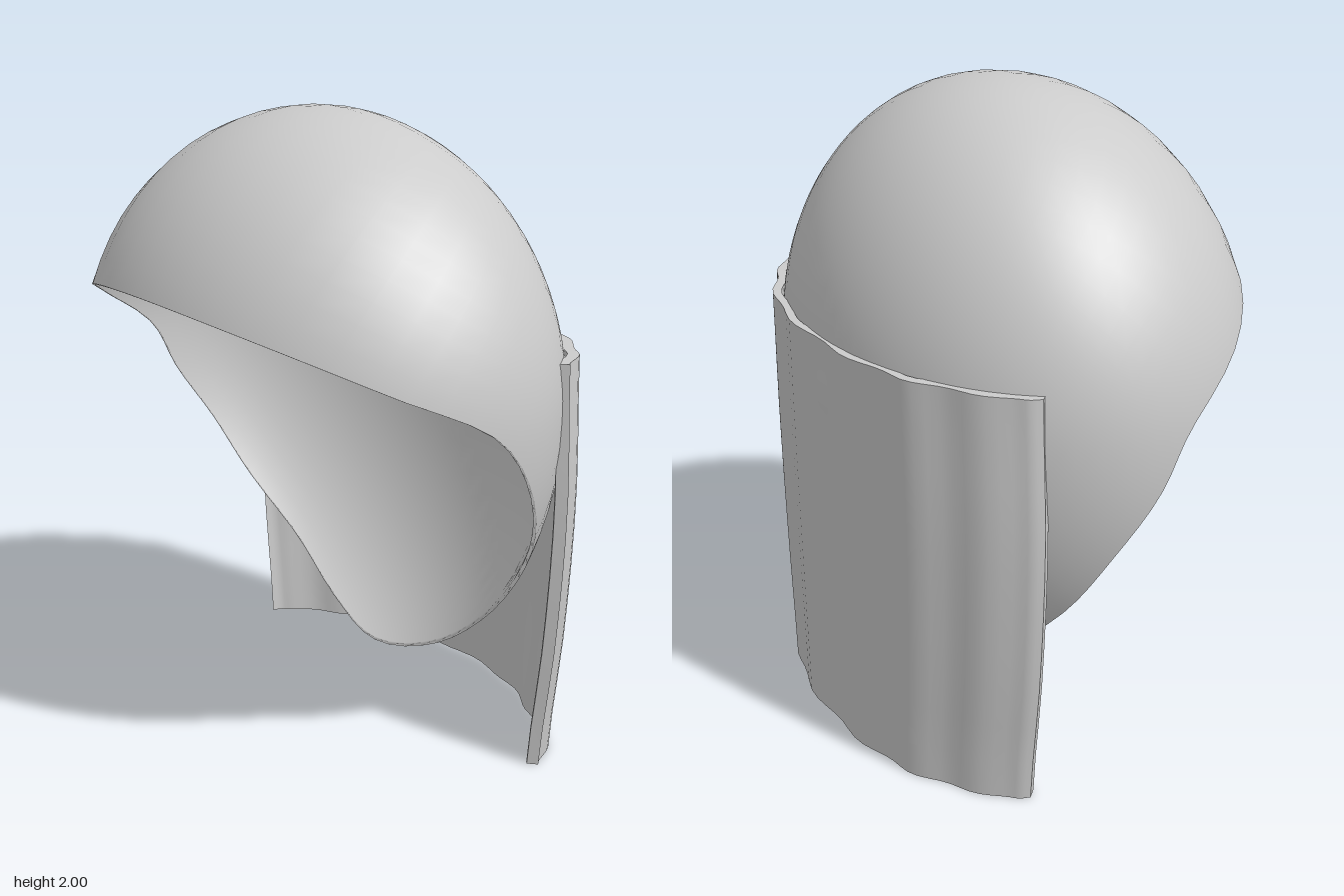
import * as THREE from 'three';
import { toCreasedNormals } from 'three/addons/utils/BufferGeometryUtils.js';

const material = new THREE.MeshStandardMaterial({ color: 0xcccccc, side: THREE.DoubleSide });
const V = (x, y, z) => new THREE.Vector3(x, y, z);

// Dome proportions: an egg whose radii differ above/below and front/back
const CENTRE = V(0, 1.15, 0);
const radii = (d) => V(0.87, d.y > 0 ? 0.85 : 1.04, d.z > 0 ? 0.72 : 0.65);

// Edge of the face opening, running round from the brow
const RIM = [
  [0, 1.5, 0.66], [0.37, 1.44, 0.55], [0.74, 1.32, 0.32], [0.86, 1.17, 0.03],
  [0.84, 0.95, -0.14], [0.7, 0.66, -0.27], [0.5, 0.43, -0.28], [0.27, 0.26, -0.25],
  [0, 0.17, -0.22], [-0.25, 0.24, -0.24], [-0.5, 0.38, -0.25], [-0.72, 0.6, -0.17],
  [-0.82, 0.8, -0.09], [-0.86, 1.0, 0.03], [-0.85, 1.17, 0.12], [-0.72, 1.34, 0.37],
  [-0.37, 1.44, 0.55],
];

// Thin shell swept from the back of the crown out to the rim and back inside
function domeGeometry() {
  const SIDES = 64, RINGS = 20, ROWS = RINGS * 2 + 1;
  const rim = new THREE.CatmullRomCurve3(RIM.map((p) => V(...p)), true);
  const pole = V(0, 0.68, -0.73).normalize();
  const positions = [], normals = [], index = [];
  for (let row = 0; row <= ROWS; row++) {
    const inner = row > RINGS;
    const t = (inner ? ROWS - row : row) / RINGS;
    for (let i = 0; i <= SIDES; i++) {
      const d = rim.getPoint((i % SIDES) / SIDES).sub(CENTRE);
      d.divide(radii(d)).normalize();
      const axis = V(0, 0, 0).crossVectors(pole, d).normalize();
      const dir = pole.clone().applyAxisAngle(axis, pole.angleTo(d) * t);
      const r = radii(dir);
      const p = dir.clone().multiply(r).multiplyScalar(inner ? 0.986 : 1).add(CENTRE);
      const n = dir.clone().divide(r).normalize().multiplyScalar(inner ? -1 : 1);
      positions.push(p.x, p.y, p.z);
      normals.push(n.x, n.y, n.z);
      if (row < ROWS && i < SIDES) {
        const a = row * (SIDES + 1) + i, b = a + SIDES + 1;
        index.push(a, b, a + 1, a + 1, b, b + 1);
      }
    }
  }
  const g = new THREE.BufferGeometry();
  g.setAttribute('position', new THREE.Float32BufferAttribute(positions, 3));
  g.setAttribute('normal', new THREE.Float32BufferAttribute(normals, 3));
  g.setIndex(index);
  // Make the winding agree with the outward normals
  const q = (k) => V(0, 0, 0).fromArray(positions, k * 3);
  const k = 5 * (SIDES + 1);
  const face = q(k + SIDES + 1).sub(q(k)).cross(q(k + 1).sub(q(k)));
  if (face.dot(V(0, 0, 0).fromArray(normals, k * 3)) < 0) {
    for (let i = 0; i < index.length; i += 3) [index[i], index[i + 1]] = [index[i + 1], index[i]];
    g.setIndex(index);
  }
  return g;
}

// Curved neck curtain: a thin rippled arc drawn upwards, bulging at mid height
function curtainGeometry() {
  const HEIGHT = 1.315, N = 48;
  const arc = new THREE.SplineCurve([
    [-0.785, 0.3], [-0.73, 0.39], [-0.58, 0.505], [-0.4, 0.59], [-0.15, 0.65],
    [0.15, 0.65], [0.4, 0.6], [0.58, 0.515], [0.72, 0.41], [0.795, 0.31],
  ].map((p) => new THREE.Vector2(...p)));
  const outer = [], inner = [];
  for (let i = 0; i <= N; i++) {
    const p = arc.getPoint(i / N);
    const ripple = 0.008 * Math.sin(i * 1.05) + 0.004 * Math.sin(i * 0.47 + 1);
    outer.push(new THREE.Vector2(p.x, p.y + ripple));
    inner.unshift(new THREE.Vector2(p.x * 0.965, p.y + ripple - 0.025));
  }
  const g = new THREE.ExtrudeGeometry(new THREE.Shape([...outer, ...inner]), {
    depth: HEIGHT, steps: 10, bevelEnabled: false,
  });
  g.rotateX(-Math.PI / 2);
  const width = new THREE.SplineCurve([
    new THREE.Vector2(0, 0.925), new THREE.Vector2(0.33, 0.985),
    new THREE.Vector2(0.66, 1.01), new THREE.Vector2(1, 0.985),
  ]);
  const pos = g.attributes.position;
  for (let i = 0; i < pos.count; i++) {
    const h = THREE.MathUtils.clamp(pos.getY(i) / HEIGHT, 0, 1);
    pos.setX(i, pos.getX(i) * width.getPoint(h).y);
  }
  g.deleteAttribute('uv');
  return toCreasedNormals(g, 0.9);
}

export function createModel() {
  const model = new THREE.Group();
  model.name = 'helmetWithNeckCurtain';
  for (const [name, geometry] of [['dome', domeGeometry()], ['neckCurtain', curtainGeometry()]]) {
    const mesh = new THREE.Mesh(geometry, material);
    mesh.name = name;
    model.add(mesh);
  }
  return model;
}
